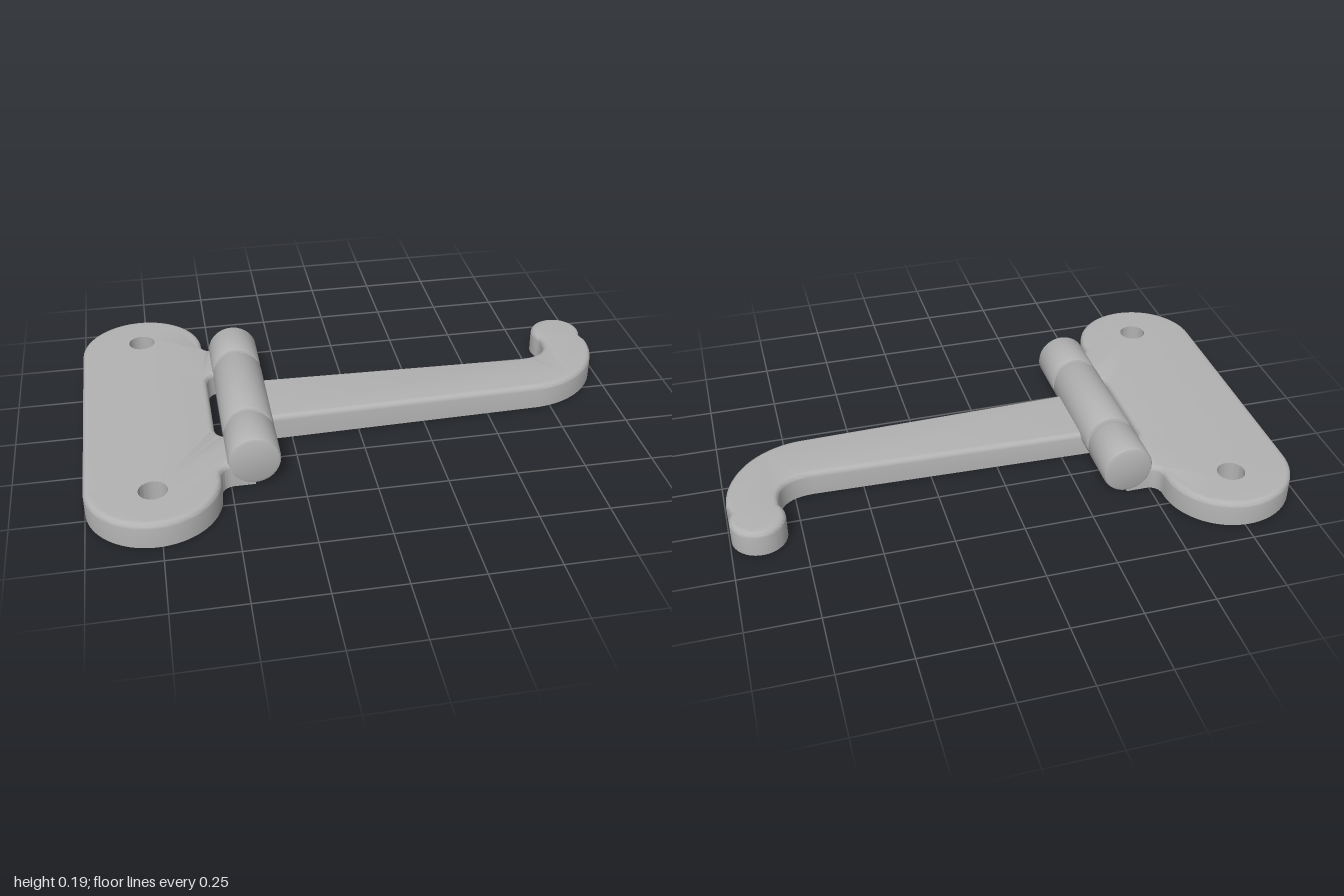
import * as THREE from 'three';
import { toCreasedNormals } from 'three/addons/utils/BufferGeometryUtils.js';

const THICK = 0.095, ROUND = 0.02, HOLE_R = 0.05;
const BARREL_X = -0.415, BARREL_Y = 0.097, BARREL_R = 0.093;

// Flat plate lying on y = 0: rounded top edge, sharp bottom edge, straight holes
function plateGeometry(shape, holes = []) {
  for (const [x, y] of holes) {
    const hole = new THREE.Path();
    hole.absarc(x, y, HOLE_R, 0, Math.PI * 2, true);
    shape.holes.push(hole);
  }
  const geo = new THREE.ExtrudeGeometry(shape, {
    depth: THICK - ROUND, curveSegments: 20, bevelEnabled: true,
    bevelThickness: ROUND, bevelSize: ROUND, bevelOffset: -ROUND, bevelSegments: 4,
  });
  const p = geo.attributes.position;
  for (let i = 0; i < p.count; i++) {
    p.setZ(i, Math.max(0, p.getZ(i)));
    for (const [x, y] of holes) {
      const dx = p.getX(i) - x, dy = p.getY(i) - y, d = Math.hypot(dx, dy);
      if (d < HOLE_R + ROUND * 2) p.setXY(i, x + dx / d * HOLE_R, y + dy / d * HOLE_R);
    }
  }
  geo.rotateX(-Math.PI / 2);
  return toCreasedNormals(geo, 0.6);
}

// Chamfered hinge knuckle along z
function knuckleGeometry(length) {
  const h = length / 2, c = 0.014, R = BARREL_R;
  const profile = [[0, -h], [R - c, -h], [R - c * 0.3, -h + c * 0.3], [R, -h + c],
    [R, h - c], [R - c * 0.3, h - c * 0.3], [R - c, h], [0, h]];
  const geo = new THREE.LatheGeometry(profile.map(([x, y]) => new THREE.Vector2(x, y)), 48);
  geo.rotateX(Math.PI / 2);
  return toCreasedNormals(geo, 0.5);
}

// Stadium plate with two tabs reaching the outer knuckles
function mountShape() {
  const cx = -0.7675, r = 0.2325, cy = 0.4475, edge = cx + r;
  const s = new THREE.Shape();
  s.moveTo(cx - r, cy);
  s.lineTo(cx - r, -cy);
  s.absarc(cx, -cy, r, Math.PI, Math.PI * 2, false);
  s.quadraticCurveTo(edge, -0.4, -0.49, -0.396);
  s.lineTo(BARREL_X, -0.396);
  s.lineTo(BARREL_X, -0.216);
  s.lineTo(-0.485, -0.216);
  s.quadraticCurveTo(edge, -0.21, edge, -0.15);
  s.lineTo(edge, 0.15);
  s.quadraticCurveTo(edge, 0.21, -0.485, 0.216);
  s.lineTo(BARREL_X, 0.216);
  s.lineTo(BARREL_X, 0.396);
  s.lineTo(-0.49, 0.396);
  s.quadraticCurveTo(edge, 0.4, edge, cy);
  s.absarc(cx, cy, r, 0, Math.PI, false);
  return s;
}

// Tapered arm curling into a round tip
function armShape() {
  const s = new THREE.Shape();
  s.moveTo(BARREL_X, -0.135);
  s.lineTo(0.68, -0.105);
  s.absarc(0.68, 0.21, 0.315, -Math.PI / 2, 0, false);
  s.absarc(0.897, 0.302, 0.097, -0.5, Math.PI + 0.55, false);
  s.quadraticCurveTo(0.825, 0.115, 0.68, 0.114);
  s.lineTo(BARREL_X, 0.143);
  return s;
}

export function createModel() {
  const model = new THREE.Group();
  model.name = 'hingedHook';
  const metal = new THREE.MeshStandardMaterial({ color: 0xb2b2b2 });
  metal.name = 'grey metal';
  const add = (name, geo, x = 0, y = 0, z = 0) => {
    const mesh = new THREE.Mesh(geo, metal);
    mesh.name = name;
    mesh.position.set(x, y, z);
    model.add(mesh);
  };

  add('mountingPlate', plateGeometry(mountShape(), [[-0.7675, 0.497], [-0.7675, -0.497]]));
  add('hookArm', plateGeometry(armShape()));

  // Hinge barrel
  add('middleKnuckle', knuckleGeometry(0.402), BARREL_X, BARREL_Y, 0);
  for (const side of [-1, 1]) {
    add(side > 0 ? 'frontKnuckle' : 'backKnuckle', knuckleGeometry(0.186), BARREL_X, BARREL_Y, side * 0.307);
  }
  const pin = new THREE.CylinderGeometry(0.036, 0.036, 0.7, 32);
  pin.rotateX(Math.PI / 2);
  add('hingePin', pin, BARREL_X, BARREL_Y, 0);
  return model;
}
